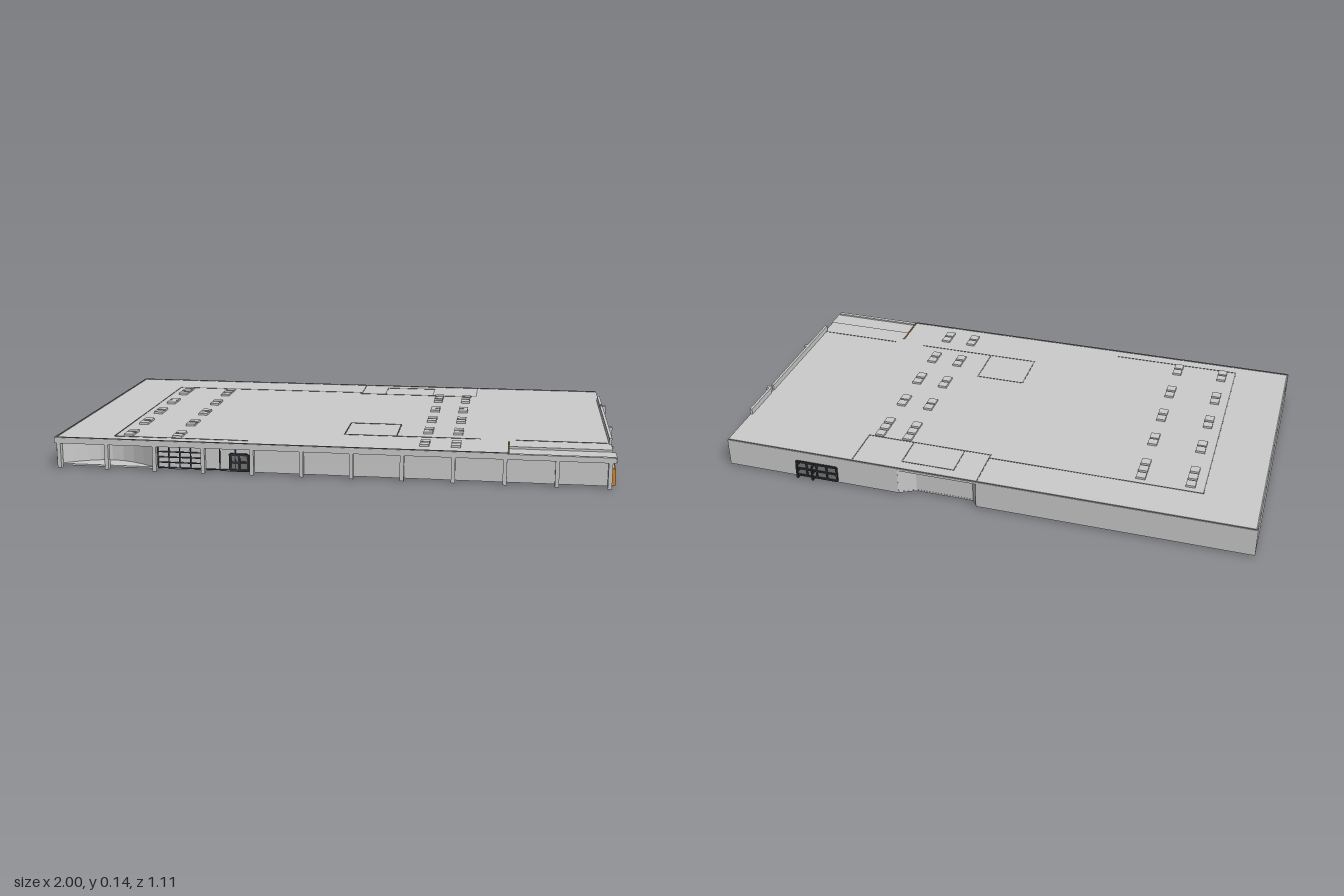
import * as THREE from 'three';

const mat = (color) => new THREE.MeshStandardMaterial({ color });
const grey = mat(0xcccccc);
const dark = mat(0x2c2f33);
const frame = mat(0x3a414c);
const orange = mat(0xd98a28);
const brown = mat(0x7a6238);
const shade = mat(0x777777);

export function createModel() {
  const model = new THREE.Group();

  // Box given by its extents along each axis
  const box = (name, [x0, x1], [y0, y1], [z0, z1], m = grey, parent = model) => {
    const mesh = new THREE.Mesh(new THREE.BoxGeometry(x1 - x0, y1 - y0, z1 - z0), m);
    mesh.position.set((x0 + x1) / 2, (y0 + y1) / 2, (z0 + z1) / 2);
    mesh.name = name;
    parent.add(mesh);
    return mesh;
  };

  // Thin straight bar between two plan points
  const bar = (name, [xa, za], [xb, zb], y, h, w, m, parent = model) => {
    const len = Math.hypot(xb - xa, zb - za);
    const mesh = new THREE.Mesh(new THREE.BoxGeometry(len + w, h, w), m);
    mesh.position.set((xa + xb) / 2, y, (za + zb) / 2);
    mesh.rotation.y = -Math.atan2(zb - za, xb - xa);
    mesh.name = name;
    parent.add(mesh);
  };
  const polyline = (name, pts, ...rest) => {
    for (let i = 1; i < pts.length; i++) bar(name, pts[i - 1], pts[i], ...rest);
  };

  // Grid of mullions and transoms; axis 'x' runs along the front, 'z' along the side
  const grid = (name, axis, [a0, a1], [y0, y1], at, cols, rows, w = 0.0035, m = frame) => {
    const g = new THREE.Group();
    g.name = name;
    const depth = [at - 0.003, at + 0.003];
    const put = (a, y) => (axis === 'x' ? box('bar', a, y, depth, m, g) : box('bar', depth, y, a, m, g));
    for (let i = 0; i <= cols; i++) {
      const a = a0 + ((a1 - a0) * i) / cols;
      put([a - w / 2, a + w / 2], [y0, y1]);
    }
    for (let j = 0; j <= rows; j++) {
      const y = y0 + ((y1 - y0) * j) / rows;
      put([a0, a1], [y - w / 2, y + w / 2]);
    }
    model.add(g);
  };

  // Floor slab with a notch at the back entrance, and the roof slab
  const plan = new THREE.Shape([
    [-1, 0.53], [0.98, 0.53], [0.98, -0.53], [0.3, -0.53], [0.24, -0.5],
    [0.02, -0.5], [0, -0.53], [-1, -0.53],
  ].map(([x, z]) => new THREE.Vector2(x, -z)));
  const floor = new THREE.Mesh(
    new THREE.ExtrudeGeometry(plan, { depth: 0.006, bevelEnabled: false }), grey);
  floor.rotation.x = -Math.PI / 2;
  floor.position.y = 0.006;
  floor.name = 'floor';
  model.add(floor);
  box('mainRoof', [-1, 0.98], [0.104, 0.113], [-0.53, 0.45]);
  box('frontRoof', [-1, 0.62], [0.104, 0.113], [0.45, 0.55]);
  box('cornerCanopy', [0.62, 0.99], [0.097, 0.105], [0.45, 0.55]);

  // Outer walls
  const H = [0.01, 0.105];
  box('leftWall', [-1, -0.99], H, [-0.53, 0.53]);
  box('backWallLeft', [-1, 0], H, [-0.53, -0.52]);
  box('backWallRight', [0.3, 0.98], H, [-0.53, -0.52]);
  polyline('backRecessWall', [[0, -0.525], [0.02, -0.495], [0.24, -0.495], [0.3, -0.525]],
    0.0575, 0.095, 0.008, grey);
  box('rightWallBack', [0.97, 0.98], H, [-0.53, -0.34]);
  box('rightGlass', [0.965, 0.975], H, [-0.34, 0.372]);
  box('rightWallFront', [0.97, 0.98], H, [0.372, 0.535]);

  // Front walls, with the left bay set back in a curve
  box('frontWall', [-0.64, 0.97], [0.01, 0.1], [0.522, 0.53]);
  const bayCurve = [];
  for (let i = 0; i <= 8; i++) {
    const t = i / 8;
    bayCurve.push([-0.99 + 0.35 * t, 0.526 - 0.07 * Math.sin(Math.PI * t)]);
  }
  polyline('frontBayWall', bayCurve, 0.055, 0.09, 0.004, grey);
  box('frontFascia', [-1, 0.985], [0.092, 0.111], [0.535, 0.55]);

  // Front columns
  for (let i = 0; i < 12; i++) {
    const x = -0.985 + i * 0.1775;
    box('frontColumn', [x - 0.007, x + 0.007], [0, 0.095], [0.528, 0.548]);
  }

  // Front glazing and doors
  grid('frontWindow', 'x', [-0.62, -0.46], [0.012, 0.09], 0.532, 4, 4);
  grid('frontWindow', 'x', [-0.45, -0.28], [0.012, 0.09], 0.532, 3, 1);
  box('frontDoorLeaf', [-0.355, -0.29], [0.012, 0.07], [0.53, 0.534], shade);
  grid('frontDoor', 'x', [-0.355, -0.29], [0.012, 0.07], 0.535, 2, 2, 0.008, dark);

  // Right side glazing, parapets and columns
  const bays = [[-0.34, -0.175, 4], [-0.155, 0.18, 8], [0.2, 0.372, 4]];
  for (const [z0, z1, n] of bays) grid('rightWindow', 'z', [z0, z1], [0.014, 0.104], 0.977, n, 4);
  box('parapet', [0.972, 0.982], [0.105, 0.135], [-0.34, -0.175]);
  box('parapet', [0.972, 0.982], [0.105, 0.135], [-0.152, 0.372]);
  for (const z of [-0.165, 0.19]) box('sideColumn', [0.975, 0.995], [0.004, 0.133], [z - 0.007, z + 0.007]);
  for (const z of [-0.345, 0.368]) box('sidePost', [0.973, 0.987], [0, 0.105], [z - 0.004, z + 0.004]);
  for (const [z0, z1] of [[0.113, 0.17], [0.21, 0.27]]) {
    box('sideDoorLeaf', [0.975, 0.981], [0.012, 0.07], [z0, z1], shade);
    grid('sideDoor', 'z', [z0, z1], [0.012, 0.07], 0.984, 2, 2, 0.008, dark);
  }

  // Orange corner doors
  for (const z of [0.472, 0.506]) box('orangeDoor', [0.975, 0.986], [0.012, 0.07], [z, z + 0.032], orange);
  box('yellowBeam', [0.62, 0.626], [0.104, 0.115], [0.39, 0.54], brown);

  // Back door with its leaves standing open
  box('backDoorPanel', [0.54, 0.7], [0.014, 0.07], [-0.533, -0.53], shade);
  grid('backDoorFrame', 'x', [0.54, 0.7], [0.014, 0.072], -0.534, 4, 2, 0.007, dark);
  for (const x of [0.63, 0.69]) grid('openDoorLeaf', 'z', [-0.555, -0.53], [0.015, 0.07], x, 1, 2, 0.006, dark);

  // Paired and tripled roof lights
  for (const x of [-0.74, -0.56, 0.33, 0.44])
    for (const z of [-0.33, -0.285, -0.24, -0.105, -0.064, 0.07, 0.115, 0.25, 0.295, 0.433, 0.476])
      box('roofLight', [x - 0.017, x + 0.017], [0.113, 0.121], [z - 0.017, z + 0.017]);

  // Slim seams over the partitions
  const seams = [
    [[0, -0.37], [-0.79, -0.37], [-0.79, 0.5], [-0.3, 0.5]],
    [[0, -0.52], [0, -0.35], [0.48, -0.35], [0.48, -0.52]],
    [[0.1, -0.35], [0.1, -0.48], [0.3, -0.48], [0.3, -0.35]],
    [[0.03, 0.18], [0.22, 0.18], [0.22, 0.36], [0.03, 0.36], [0.03, 0.18]],
    [[0.22, 0.36], [0.52, 0.36]],
    [[0.65, 0.36], [0.97, 0.36]],
  ];
  for (const s of seams) polyline('roofSeam', s, 0.1133, 0.002, 0.004, shade);
  polyline('roofEdge', [[0.975, -0.525], [-0.995, -0.525], [-0.995, 0.545], [0.62, 0.545]],
    0.1135, 0.003, 0.006, shade);

  // Inlays and channels under the floor
  polyline('floorChannel', [[-0.1, -0.09], [-0.2, 0.12], [-0.73, -0.13]], 0.0055, 0.004, 0.012, dark);
  polyline('floorChannel', [[-0.19, -0.12], [-0.32, -0.21], [-0.33, -0.35]], 0.0055, 0.004, 0.012, dark);
  polyline('floorChannel', [[0.94, 0.11], [0.685, 0.04], [0.74, -0.16]], 0.0055, 0.004, 0.012, dark);
  box('floorMat', [0.44, 0.8], [0.004, 0.007], [0.2, 0.25], dark);
  box('entranceFloor', [-0.28, 0.15], [0.004, 0.007], [0.27, 0.52], shade);
  box('cornerFloor', [0.62, 0.97], [0.004, 0.007], [0.38, 0.52], brown);
  const carpet = new THREE.Mesh(new THREE.CylinderGeometry(0.13, 0.13, 0.003, 8), brown);
  carpet.geometry.rotateY(Math.PI / 8);
  carpet.scale.z = 0.85;
  carpet.position.set(0.14, 0.0055, -0.125);
  carpet.name = 'octagonalCarpet';
  model.add(carpet);

  return model;
}
